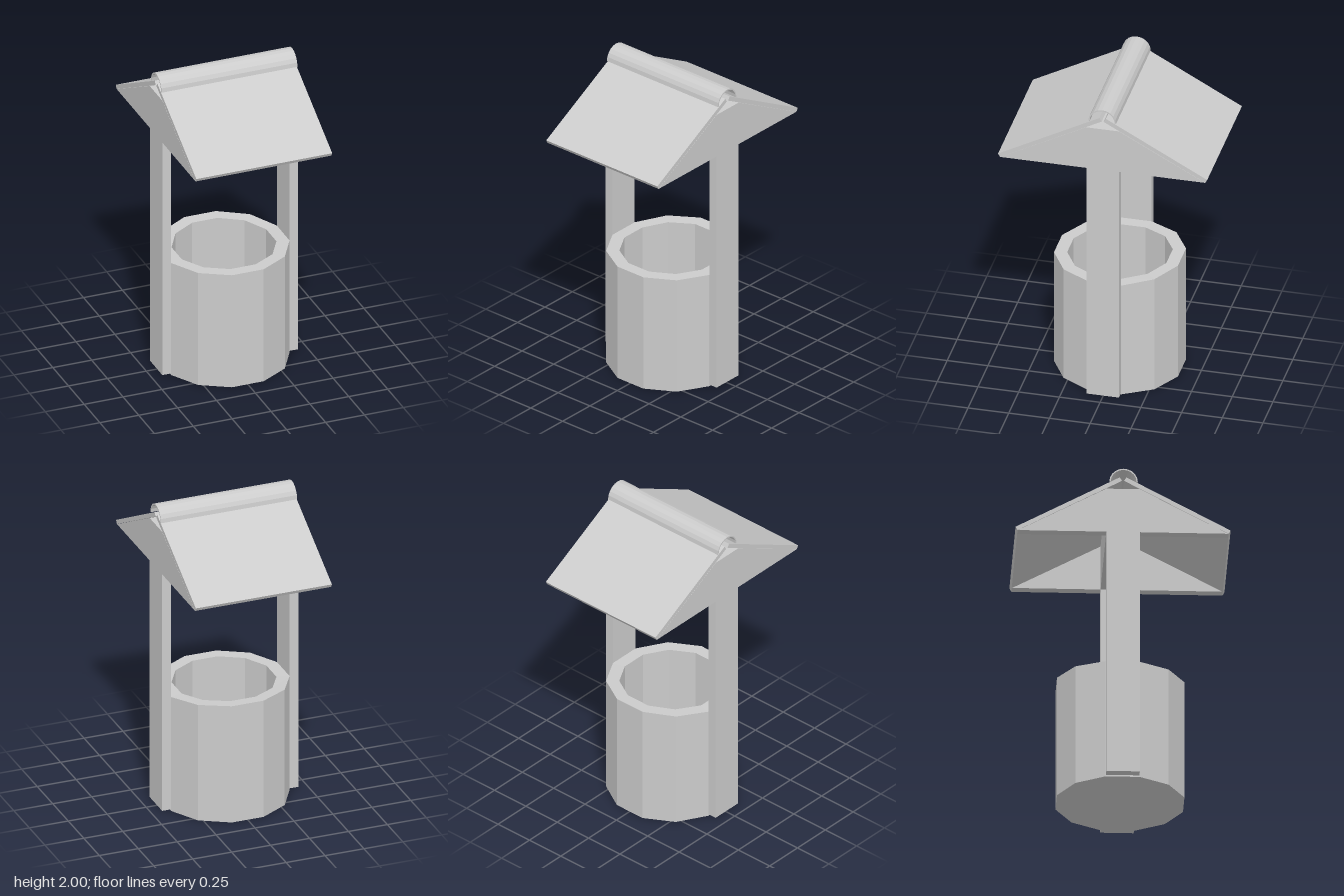
import * as THREE from 'three';

const HALF = 0.437;      // half the width of roof and frame
const INNER = 0.381;     // inner face of the posts

const material = new THREE.MeshStandardMaterial({ color: 0xcccccc, flatShading: true, side: THREE.DoubleSide });

// Extrudes a [z, y] outline along x, from x0 to x1
function slab(name, points, x0, x1) {
  const shape = new THREE.Shape(points.map(([z, y]) => new THREE.Vector2(z, y)));
  const geometry = new THREE.ExtrudeGeometry(shape, { depth: x1 - x0, bevelEnabled: false });
  geometry.rotateY(-Math.PI / 2).translate(x1, 0, 0);
  const mesh = new THREE.Mesh(geometry, material);
  mesh.name = name;
  return mesh;
}

export function createModel() {
  const well = new THREE.Group();
  well.name = 'wishingWell';

  // Twelve-sided hollow basin with a closed floor
  const profile = [[0, 0], [0.394, 0], [0.394, 0.758], [0.315, 0.758], [0.315, 0.05], [0, 0.05]]
    .map(([r, y]) => new THREE.Vector2(r, y));
  const basinGeometry = new THREE.LatheGeometry(profile, 12, Math.PI / 12);
  // The rim rises slightly toward the back
  const pos = basinGeometry.attributes.position;
  for (let i = 0; i < pos.count; i++) {
    if (pos.getY(i) > 0.5) pos.setY(i, pos.getY(i) + Math.max(0, -pos.getZ(i) - 0.1) * 0.055);
  }
  const basin = new THREE.Mesh(basinGeometry, material);
  basin.name = 'basin';
  well.add(basin);

  // Each post is one board with its gable
  const gable = [
    [-0.1, 0.01], [0.1, 0.01], [0.1, 1.584], [0.628, 1.584],
    [0.1, 1.867], [-0.1, 1.867], [-0.628, 1.584], [-0.1, 1.584],
  ];
  well.add(slab('leftPost', gable, INNER, HALF));
  well.add(slab('rightPost', gable, -HALF, -INNER));

  // Beam joining the posts under the roof
  well.add(slab('beam', [[-0.1, 1.584], [0.1, 1.584], [0.1, 1.867], [-0.1, 1.867]], -INNER, INNER));

  // Sloping roof panels
  for (const s of [1, -1]) {
    const panel = [[0.63, 1.584], [0.642, 1.606], [0.02, 1.943], [0.006, 1.92]].map(([z, y]) => [s * z, y]);
    well.add(slab(s > 0 ? 'frontRoof' : 'backRoof', panel, -HALF, HALF));
  }

  // Thin half-round ridge cap
  const arc = [];
  const steps = 10;
  for (const [radius, reverse] of [[0.085, false], [0.077, true]]) {
    for (let i = 0; i <= steps; i++) {
      const a = Math.PI * (reverse ? steps - i : i) / steps;
      arc.push([0.003 + radius * Math.cos(a), 1.915 + radius * Math.sin(a)]);
    }
  }
  well.add(slab('ridgeCap', arc, -HALF, HALF));

  return well;
}
